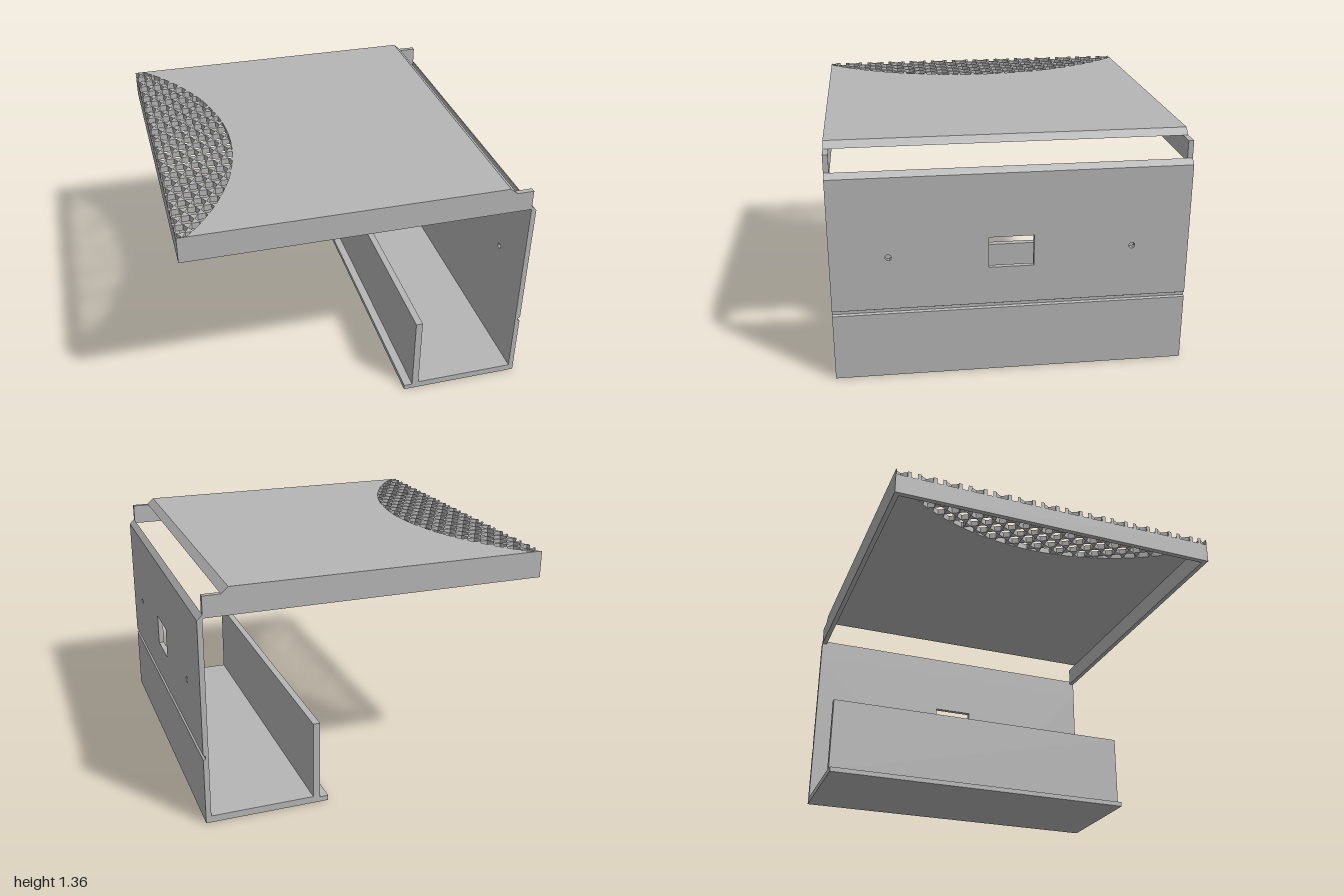
import * as THREE from 'three';

const grey = new THREE.MeshStandardMaterial({ color: 0xb6b6b6 });
grey.name = 'plain grey';

const TOP = 1.355, UNDER = 1.32, WALL = 0.03;
const toPoints = (list) => list.map(([a, b]) => new THREE.Vector2(a, b));

// Solid with a flat profile in x and y, running along z
function prism(name, profile, z0, z1) {
  const geo = new THREE.ExtrudeGeometry(new THREE.Shape(toPoints(profile)), { depth: z1 - z0, bevelEnabled: false });
  const mesh = new THREE.Mesh(geo.translate(0, 0, z0), grey);
  mesh.name = name;
  return mesh;
}

// Keep the part of a polygon where nx * x + nz * z <= d
function clip(poly, nx, nz, d) {
  const out = [];
  poly.forEach((p, i) => {
    const q = poly[(i + 1) % poly.length];
    const a = nx * p[0] + nz * p[1] - d, b = nx * q[0] + nz * q[1] - d;
    if (a <= 0) out.push(p);
    if ((a < 0 && b > 0) || (a > 0 && b < 0)) {
      const t = a / (a - b);
      out.push([p[0] + (q[0] - p[0]) * t, p[1] + (q[1] - p[1]) * t]);
    }
  });
  return out;
}

// Staggered hexagons trimmed by an arc; those crossing the edge become notches
function grilleCells() {
  const holes = [], notches = [];
  const pitch = 0.0872, rowStep = 0.0755, radius = 0.0415;
  const arcX = -2, arcR = 1.45;
  for (let row = 13; row >= -13; row--) {
    const z = 0.014 + row * rowStep;
    const first = row % 2 ? -1.012 : -0.969;
    for (let x = first; x < -0.5; x += pitch) {
      let cell = [];
      for (let i = 0; i < 6; i++) {
        const a = i * Math.PI / 3;
        cell.push([x + radius * Math.cos(a), z + radius * Math.sin(a)]);
      }
      const angle = Math.atan2(z, x - arcX), nx = Math.cos(angle), nz = Math.sin(angle);
      cell = clip(cell, nx, nz, arcR + arcX * nx);
      cell = clip(clip(cell, 0, 1, 0.995), 0, -1, 0.995);
      cell = clip(cell, -1, 0, 1);
      if (cell.length < 3 || Math.abs(THREE.ShapeUtils.area(toPoints(cell))) < 3e-5) continue;
      const edge = cell.filter((p) => p[0] < -0.99999);
      if (edge.length < 2) { holes.push(cell); continue; }
      const low = edge.reduce((m, p) => (p[1] < m[1] ? p : m));
      const k = cell.indexOf(low);
      notches.push([...cell.slice(k), ...cell.slice(0, k)].reverse());
    }
  }
  return { holes, notches };
}

// Roof plate with the pierced grille
function roofPlate() {
  const { holes, notches } = grilleCells();
  const shape = new THREE.Shape(toPoints([[0.83, -1], [0.83, 1], [-1, 1], ...notches.flat(), [-1, -1]]));
  shape.holes = holes.map((h) => new THREE.Path(toPoints(h)));
  const geo = new THREE.ExtrudeGeometry(shape, { depth: TOP - UNDER, bevelEnabled: false });
  const mesh = new THREE.Mesh(geo.rotateX(Math.PI / 2).translate(0, TOP, 0), grey);
  mesh.name = 'roofPlate';
  return mesh;
}

// Upright panel with a window and two screw holes
function wallPanel(y0, y1) {
  const shape = new THREE.Shape(toPoints([[-1, y0], [1, y0], [1, y1], [-1, y1]]));
  shape.holes.push(new THREE.Path(toPoints([[-0.13, 0.64], [-0.13, 0.82], [0.123, 0.82], [0.123, 0.64]])));
  for (const x of [-0.68, 0.675]) {
    const hole = [];
    for (let i = 0; i < 8; i++) {
      const a = (i + 0.5) * Math.PI / 4;
      hole.push([x + 0.018 * Math.cos(a), 0.73 + 0.018 * Math.sin(a)]);
    }
    shape.holes.push(new THREE.Path(toPoints(hole)));
  }
  const geo = new THREE.ExtrudeGeometry(shape, { depth: WALL, bevelEnabled: false });
  const mesh = new THREE.Mesh(geo.rotateY(Math.PI / 2).translate(1 - WALL, 0, 0), grey);
  mesh.name = 'wallPanel';
  return mesh;
}

export function createModel() {
  const model = new THREE.Group();
  model.name = 'bracketWithRoof';

  // Channel with a front lip, inner upright and grooved outer wall
  const base = new THREE.Group();
  base.name = 'base';
  base.add(prism('channel', [
    [0.285, 0], [1, 0], [1, 0.39], [0.987, 0.397], [0.987, 0.413], [1, 0.42], [1, 0.5],
    [0.97, 0.5], [0.97, 0.04], [0.375, 0.04], [0.375, 0.5], [0.335, 0.5], [0.335, 0.03], [0.285, 0.03],
  ], -1, 1));
  base.add(wallPanel(0.5, 1.1));
  base.add(prism('wallTop', [[0.97, 1.1], [1, 1.1], [1, 1.19], [0.97, 1.22]], -1, 1));

  // Shallow roof tray, open towards the outer wall
  const roof = new THREE.Group();
  roof.name = 'roof';
  roof.add(roofPlate());
  roof.add(prism('roofBevel', [[0.83, UNDER], [0.87, UNDER], [0.83, TOP]], -1, 1));
  const skirt = [[-1, 1.2], [0.97, 1.2], [0.97, UNDER], [-1, UNDER]];
  roof.add(prism('frontSkirt', skirt, 1 - WALL, 1));
  roof.add(prism('backSkirt', skirt, -1, -1 + WALL));
  roof.add(prism('endSkirt', [[-1, 1.2], [-1 + WALL, 1.2], [-1 + WALL, UNDER], [-1, UNDER]], -1 + WALL, 1 - WALL));

  model.add(base, roof);
  return model;
}
